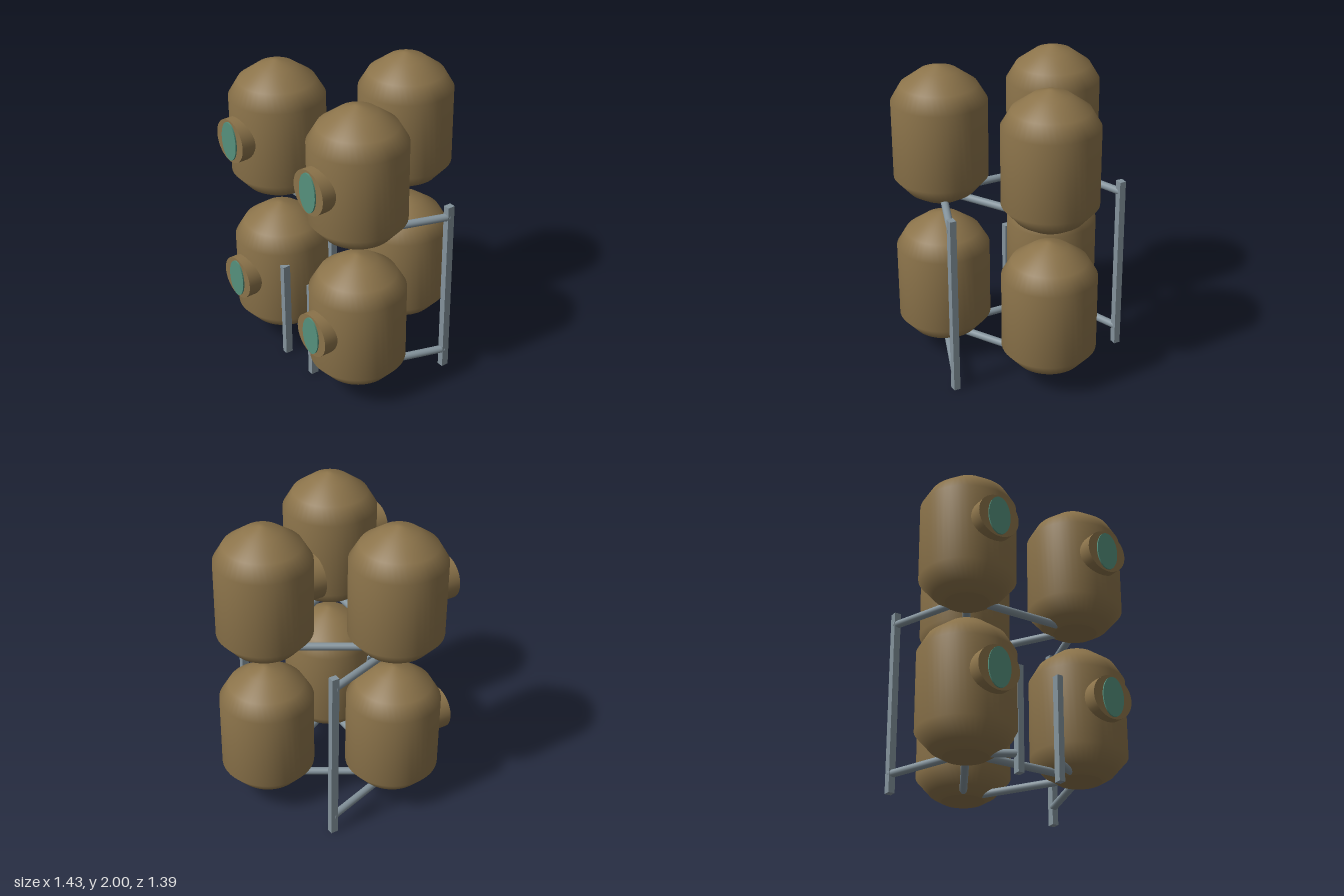
import * as THREE from 'three';

export function createModel() {
  const mat = (name, color) => {
    const m = new THREE.MeshStandardMaterial({ color });
    m.name = name;
    return m;
  };
  const shell = mat('brown shell', 0x8b734a);
  const glass = mat('teal glass', 0x55907c);
  const steel = mat('grey steel', 0x83929b);

  const root = new THREE.Group();
  root.name = 'podRack';
  const add = (parent, name, geo, material, x = 0, y = 0, z = 0) => {
    const m = new THREE.Mesh(geo, material);
    m.name = name;
    m.position.set(x, y, z);
    parent.add(m);
    return m;
  };

  // Shared pod geometries, measured from the pod's underside
  const profile = [[0.14, 0], [0.215, 0.045], [0.307, 0.15], [0.307, 0.66],
    [0.245, 0.765], [0.12, 0.855], [0.02, 0.889], [0, 0.889]]
    .map(([r, y]) => new THREE.Vector2(r, y));
  const bodyGeo = new THREE.LatheGeometry(profile, 48);
  const baseGeo = new THREE.CircleGeometry(0.14, 48).rotateX(Math.PI / 2);
  const neckGeo = new THREE.CylinderGeometry(0.143, 0.143, 0.125, 40).rotateX(Math.PI / 2);
  const windowGeo = new THREE.CylinderGeometry(1, 1, 0.009, 40)
    .rotateX(Math.PI / 2).scale(0.078, 0.13, 1);

  // Round strut between two floor-plan points at one height
  const strut = (name, [x1, z1], [x2, z2], y) => {
    const d = new THREE.Vector3(x2 - x1, 0, z2 - z1);
    const m = add(root, name, new THREE.CylinderGeometry(0.025, 0.025, d.length(), 20), steel,
      (x1 + x2) / 2, y, (z1 + z2) / 2);
    m.quaternion.setFromUnitVectors(new THREE.Vector3(0, 1, 0), d.normalize());
  };

  const left = [0.41, 0.32], right = [-0.41, 0.32], rear = [0, -0.39];
  const tiers = [{ name: 'lower', y: 0.097 }, { name: 'upper', y: 1.111 }];

  for (const tier of tiers) {
    // Three pods per tier; the lower rear one has no porthole
    for (const [side, [x, z]] of [['Left', left], ['Right', right], ['Rear', rear]]) {
      const pod = new THREE.Group();
      pod.name = `${tier.name}${side}Pod`;
      pod.position.set(x, tier.y, z);
      root.add(pod);
      add(pod, 'podBody', bodyGeo, shell);
      add(pod, 'podBase', baseGeo, shell);
      if (tier.name === 'lower' && side === 'Rear') continue;
      add(pod, 'portholeNeck', neckGeo, shell, 0, 0.438, 0.303);
      add(pod, 'portholeWindow', windowGeo, glass, 0, 0.438, 0.37);
    }
    // Triangle of struts joining the pods, and arms to the rear posts
    const y = tier.y + 0.027;
    strut(`${tier.name}FrontStrut`, left, right, y);
    for (const s of [1, -1]) {
      const front = s > 0 ? left : right;
      strut(`${tier.name}SideStrut`, front, rear, y);
      strut(`${tier.name}PostArm`, front, [0.608 * s, -0.245], y);
    }
  }

  // Square posts: tall at the rear, short at the front
  for (const s of [1, -1]) {
    add(root, 'rearPost', new THREE.BoxGeometry(0.043, 1.215, 0.05), steel, 0.606 * s, 0.6075, -0.245);
    add(root, 'frontPost', new THREE.BoxGeometry(0.04, 0.685, 0.05), steel, 0.145 * s, 0.3425, 0.485);
    strut('frontPostArm', [0.41 * s, 0.32], [0.145 * s, 0.48], 0.124);
  }
  return root;
}
